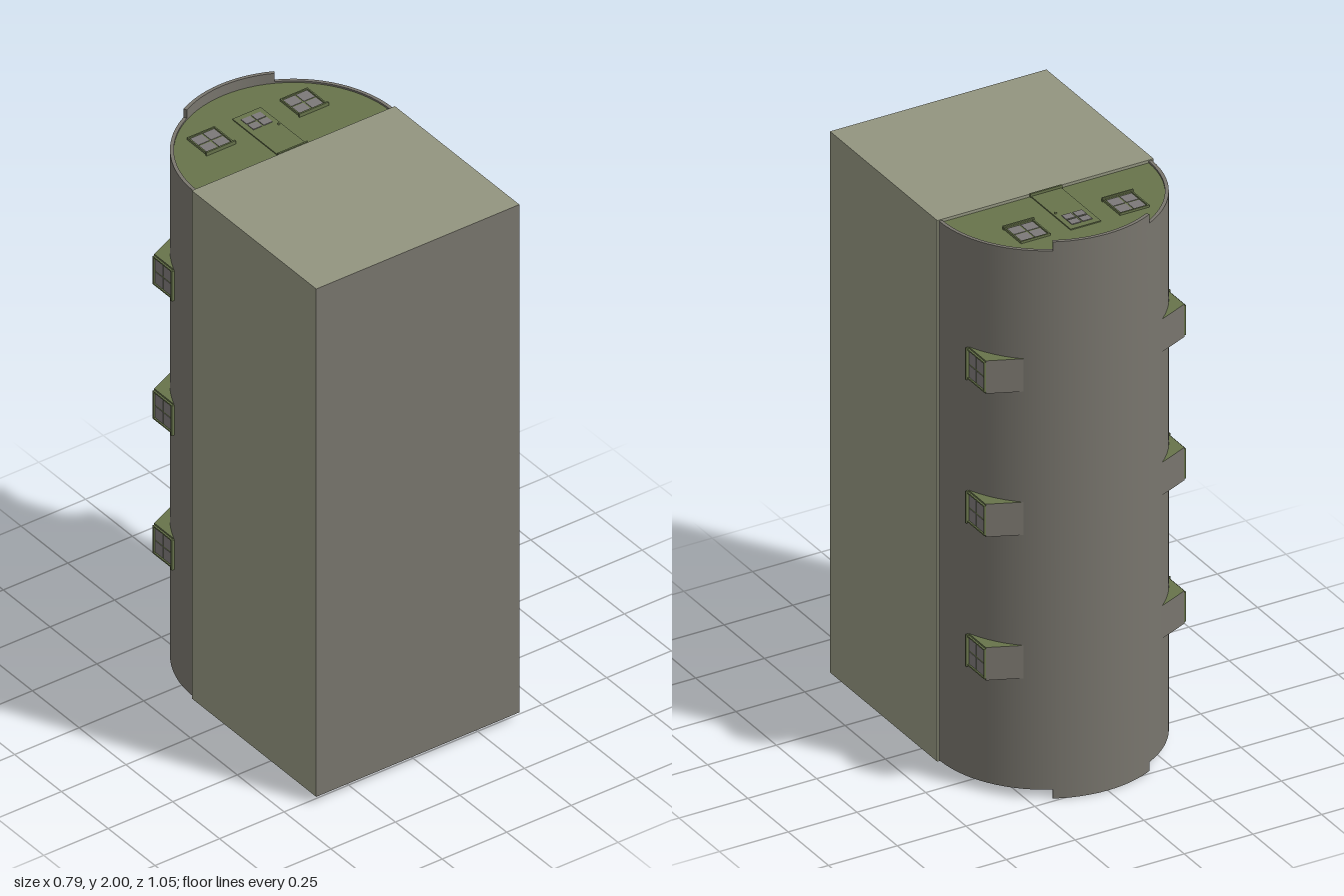
import * as THREE from 'three';
import { toCreasedNormals } from 'three/addons/utils/BufferGeometryUtils.js';

const mat = (name, color) => new THREE.MeshStandardMaterial({ name, color });

export function createModel() {
  const metal = mat('roofGrey', 0x78756d);
  const stone = mat('baseOlive', 0x92947f);
  const green = mat('wallGreen', 0x67734b);
  const glass = mat('paneGrey', 0x7c7878);

  // The hut is built upright (y up, ridge along z), then tipped at the end.
  const R = 0.387, SPRING = 0.14;
  const hut = new THREE.Group();
  hut.name = 'hut';

  const add = (parent, name, geometry, material, x = 0, y = 0, z = 0) => {
    const mesh = new THREE.Mesh(geometry, material);
    mesh.name = name;
    mesh.position.set(x, y, z);
    parent.add(mesh);
    return mesh;
  };
  const box = (parent, name, w, h, d, material, x, y, z) =>
    add(parent, name, new THREE.BoxGeometry(w, h, d), material, x, y, z);
  const extrude = (shape, depth, curveSegments = 20) => {
    const g = new THREE.ExtrudeGeometry(shape, { depth, curveSegments, bevelEnabled: false });
    return g.translate(0, 0, -depth / 2);
  };

  // Solid base with a grey underside
  box(hut, 'base', 0.787, 0.665, 1.944, [stone, stone, stone, metal, stone, stone], 0, -0.1925, 0);

  // Barrel roof shell and the longer strip along its crown
  const arch = (a, b, length, segments) => {
    const s = new THREE.Shape();
    s.absarc(0, 0, R, a, b, false);
    s.absarc(0, 0, R - 0.012, b, a, true);
    return toCreasedNormals(extrude(s, length, segments), 0.5);
  };
  add(hut, 'barrelRoof', arch(0, Math.PI, 1.936, 20), metal, 0, SPRING);
  add(hut, 'ridgeStrip', arch(Math.PI * 0.35, Math.PI * 0.65, 2, 6), metal, 0, SPRING);

  // Green body closing both ends
  const half = new THREE.Shape();
  half.absarc(0, 0, R - 0.008, 0, Math.PI, false);
  const WALL = 0.962;
  add(hut, 'endWalls', extrude(half, WALL * 2), green, 0, SPRING);

  // Two by two panes, facing +z
  const panes = (parent, w, h, z) => {
    for (const i of [-1, 1]) for (const j of [-1, 1])
      box(parent, 'pane', w, h, 0.003, glass, i * (w / 2 + 0.003), j * (h / 2 + 0.003), z);
  };
  // Framed window with a sill
  const makeWindow = () => {
    const g = new THREE.Group();
    g.name = 'window';
    box(g, 'windowBack', 0.098, 0.098, 0.004, green, 0, 0, 0.001);
    panes(g, 0.043, 0.043, 0.003);
    for (const s of [-1, 1]) {
      box(g, 'frameSide', 0.005, 0.106, 0.009, green, s * 0.051, 0, 0.0035);
      box(g, 'frameRail', 0.106, 0.005, 0.009, green, 0, s * 0.051, 0.0035);
    }
    box(g, 'sill', 0.114, 0.006, 0.014, green, 0, -0.053, 0.006);
    return g;
  };

  // Door and windows on each end
  for (const turn of [0, Math.PI]) {
    const end = new THREE.Group();
    end.name = turn ? 'rearEnd' : 'frontEnd';
    for (const s of [-1, 1]) {
      const w = makeWindow();
      w.position.set(s * 0.18, 0.333, WALL);
      end.add(w);
    }
    box(end, 'door', 0.11, 0.25, 0.006, green, 0, 0.265, WALL + 0.001);
    const light = new THREE.Group();
    light.name = 'doorLight';
    light.position.set(0, 0.335, WALL + 0.004);
    panes(light, 0.034, 0.03, 0.001);
    end.add(light);
    add(end, 'doorKnob', new THREE.SphereGeometry(0.004, 8, 6), green, 0.045, 0.28, WALL + 0.006);
    box(end, 'doorStep', 0.115, 0.006, 0.014, green, 0, 0.143, WALL + 0.006);
    end.rotation.y = turn;
    hut.add(end);
  }

  // Three dormers along each side
  const profile = new THREE.Shape([[0.22, 0.278], [0.36, 0.278], [0.36, 0.386], [0.24, 0.439]]
    .map(([x, y]) => new THREE.Vector2(x, y)));
  for (const turn of [0, Math.PI]) for (const z of [-0.512, 0.003, 0.518]) {
    const dormer = new THREE.Group();
    dormer.name = 'dormer';
    add(dormer, 'dormerBody', extrude(profile, 0.118), [green, metal]);
    box(dormer, 'dormerFront', 0.003, 0.108, 0.118, green, 0.3595, 0.332, 0);
    const w = makeWindow();
    w.rotation.y = Math.PI / 2;
    w.position.set(0.359, 0.332, 0);
    dormer.add(w);
    dormer.rotation.y = turn;
    dormer.position.z = z;
    hut.add(dormer);
  }

  // Stand the hut on end, roof towards the back
  hut.rotation.x = -Math.PI / 2;
  hut.position.y = 1;
  const model = new THREE.Group();
  model.name = 'barrelRoofHut';
  model.add(hut);
  return model;
}
